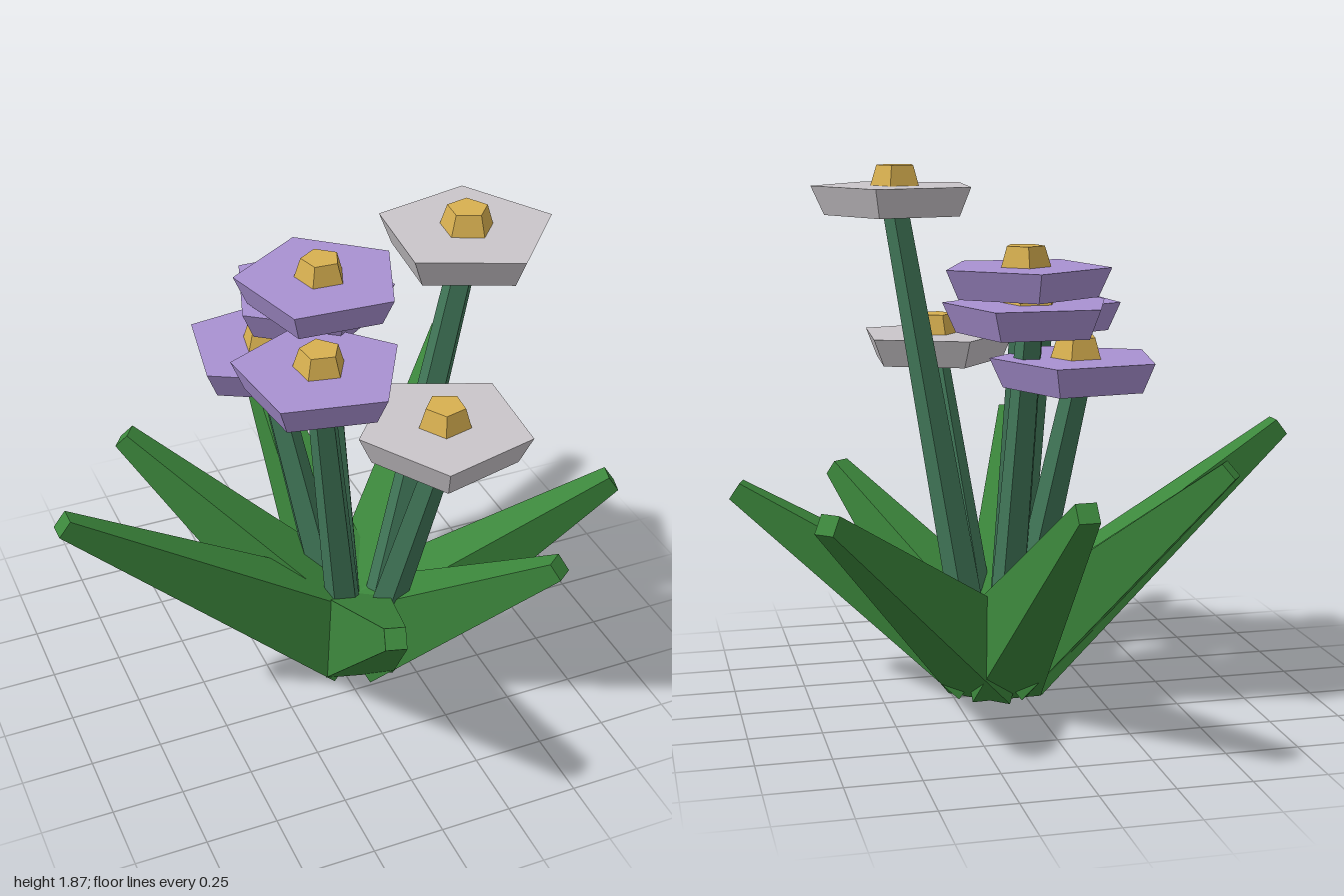
import * as THREE from 'three';

const mat = (name, color) => {
  const m = new THREE.MeshStandardMaterial({ color, flatShading: true });
  m.name = name;
  return m;
};

export function createModel() {
  const leafGreen = mat('leaf green', 0x3c873c);
  const stemGreen = mat('stem green', 0x42795a);
  const purple = mat('petal purple', 0xa991d2);
  const white = mat('petal white', 0xcac6ca);
  const gold = mat('flower centre gold', 0xd8b050);

  const root = new THREE.Group();
  root.name = 'flowerClump';
  const hub = new THREE.Vector3(0.08, 0, 0.06); // where everything grows from
  const up = new THREE.Vector3(0, 1, 0);

  const add = (parent, name, geometry, material) => {
    const mesh = new THREE.Mesh(geometry, material);
    mesh.name = name;
    parent.add(mesh);
    return mesh;
  };

  // Leaf: a box tapering to a small blunt tip, leaning outward
  const leafTips = [
    [0.03, 0.87, -0.96], [0.78, 0.82, -0.72], [-0.62, 0.86, -0.42], [-0.98, 0.91, 0.07],
    [-0.17, 0.85, 0.95], [0.56, 0.71, 0.68], [0.97, 0.72, 0.31],
  ];
  for (const t of leafTips) {
    const tip = new THREE.Vector3(...t);
    const out = new THREE.Vector3(tip.x - hub.x, 0, tip.z - hub.z).normalize();
    const base = hub.clone().addScaledVector(out, 0.04).setY(0.12);
    const axis = tip.clone().sub(base);
    const length = axis.length();
    axis.normalize();
    const side = new THREE.Vector3().crossVectors(up, axis).normalize();
    const face = new THREE.Vector3().crossVectors(side, axis);

    const geo = new THREE.BoxGeometry(1, length, 1);
    geo.translate(0, length / 2, 0);
    const p = geo.attributes.position;
    for (let i = 0; i < p.count; i++) {
      const atTip = p.getY(i) > length / 2;
      p.setX(i, p.getX(i) * (atTip ? 0.068 : 0.25));
      p.setZ(i, p.getZ(i) * (atTip ? 0.068 : 0.31));
    }
    geo.computeVertexNormals();
    geo.applyMatrix4(new THREE.Matrix4().makeBasis(side, axis, face).setPosition(base));
    add(root, 'leaf', geo, leafGreen);
  }

  // Five-sided frustum with one corner at the given angle (from +x towards +z)
  const pentagon = (top, bottom, height, angle) =>
    new THREE.CylinderGeometry(top, bottom, height, 5, 1, false,
      Math.PI / 2 - THREE.MathUtils.degToRad(angle))
      .translate(0, height / 2, 0);

  // Flowers: x, underside height, z, corner angle, petal colour
  const flowers = [
    [0.40, 1.69, 0.19, 5, white],
    [0.02, 1.43, -0.12, -87, purple],
    [0.03, 1.32, -0.245, 18, purple],
    [-0.11, 1.28, 0.19, 65, purple],
    [-0.13, 1.135, -0.25, 10, purple],
    [0.22, 1.14, 0.45, 40, white],
  ];
  for (const [x, y, z, angle, petals] of flowers) {
    const head = new THREE.Group();
    head.name = 'flowerHead';
    head.position.set(x, y, z);
    add(head, 'petals', pentagon(0.295, 0.25, 0.1, angle), petals);
    add(head, 'flowerCentre', pentagon(0.068, 0.09, 0.07, angle), gold).position.y = 0.1;
    root.add(head);

    // Stem from the clump up into the underside of the petals
    const top = new THREE.Vector3(x, y + 0.01, z);
    const foot = hub.clone().lerp(top, 0.18).setY(0.04);
    const dir = top.clone().sub(foot);
    const stem = add(root, 'stem', pentagon(0.048, 0.07, dir.length(), angle), stemGreen);
    stem.position.copy(foot);
    stem.quaternion.setFromUnitVectors(up, dir.normalize());
  }
  return root;
}
